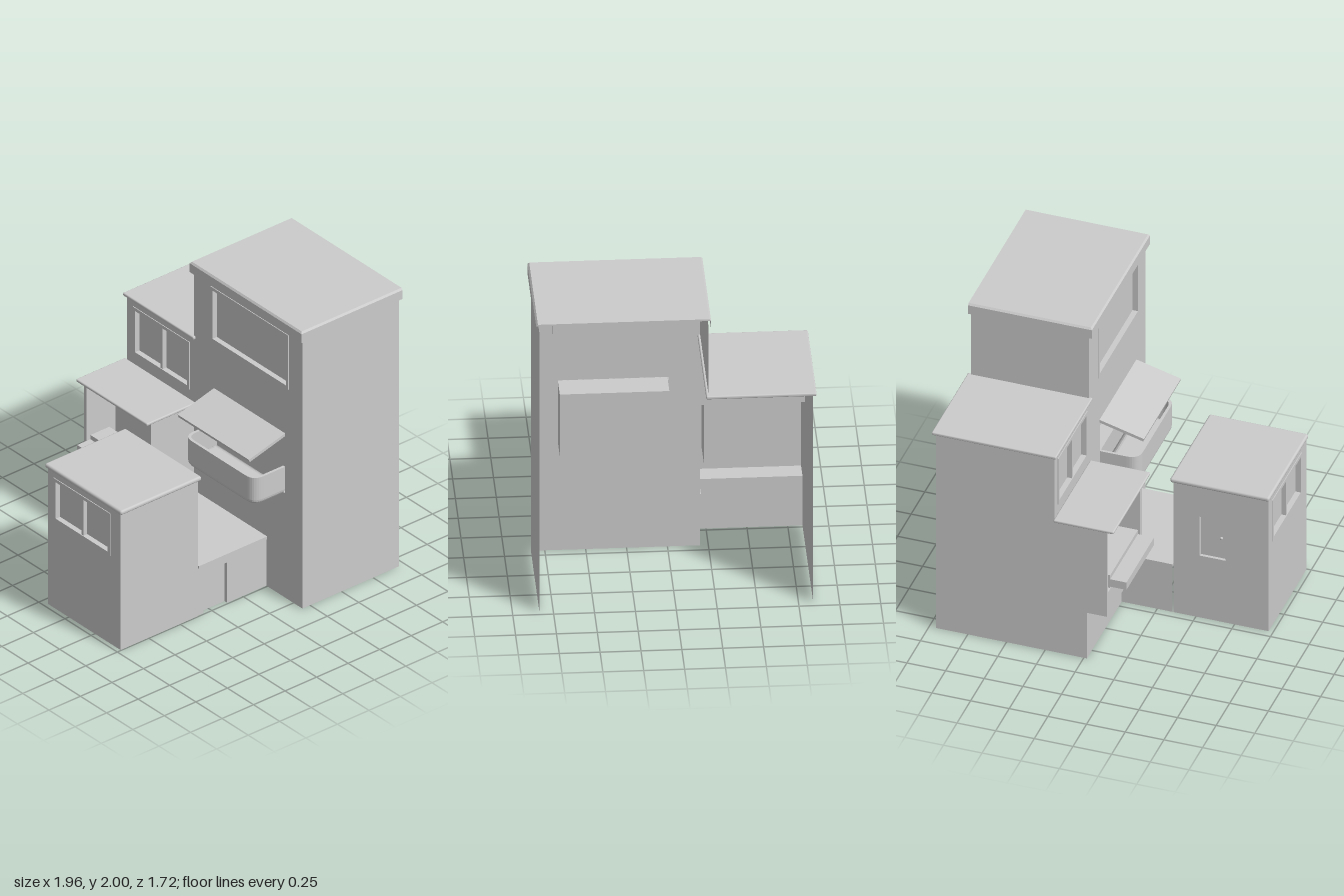
import * as THREE from 'three';
import { RoundedBoxGeometry } from 'three/addons/geometries/RoundedBoxGeometry.js';

const mat = new THREE.MeshStandardMaterial({ color: 0xcccccc, side: THREE.DoubleSide });

export function createModel() {
  const root = new THREE.Group();
  const add = (name, geo, x = 0, y = 0, z = 0) => {
    const m = new THREE.Mesh(geo, mat);
    m.name = name;
    m.position.set(x, y, z);
    root.add(m);
    return m;
  };

  // Box from its limits; faces listed in skip (+x,-x,+y,-y,+z,-z = 0..5) are left open
  const box = (name, [x0, x1], [y0, y1], [z0, z1], skip = []) => {
    const g = new THREE.BoxGeometry(x1 - x0, y1 - y0, z1 - z0);
    const idx = Array.from(g.index.array).filter((_, i) => !skip.includes(Math.floor(i / 6)));
    g.setIndex(idx);
    g.clearGroups();
    return add(name, g, (x0 + x1) / 2, (y0 + y1) / 2, (z0 + z1) / 2);
  };

  // Slab with softened edges
  const slab = (name, [x0, x1], [y0, y1], [z0, z1], r = 0.01) =>
    add(name, new RoundedBoxGeometry(x1 - x0, y1 - y0, z1 - z0, 2, r),
      (x0 + x1) / 2, (y0 + y1) / 2, (z0 + z1) / 2);

  const poly = pts => new THREE.Shape(pts.map(p => new THREE.Vector2(...p)));
  const rect = ([a0, a1], [b0, b1]) => poly([[a0, b0], [a1, b0], [a1, b1], [a0, b1]]);

  // Flat wall facing -x (drawn in z,y) or along x (drawn in x,y), with rectangular openings
  const cut = (shape, holes) => {
    holes.forEach(h => shape.holes.push(rect(...h)));
    return shape;
  };
  const wallX = (name, x, shape, holes = []) => {
    add(name, new THREE.ShapeGeometry(cut(shape, holes)), x).rotation.y = -Math.PI / 2;
  };
  const wallZ = (name, z, shape, holes = []) =>
    add(name, new THREE.ShapeGeometry(cut(shape, holes)), 0, 0, z);

  // Recessed window facing -x, with a raised frame and an optional mullion
  const windowX = (name, x, [z0, z1], [y0, y1], mullion) => {
    const f = 0.022, d = 0.03;
    box(name + 'Pane', [x, x + d], [y0 + f, y1 - f], [z0 + f, z1 - f], [1]);
    const ring = cut(rect([z0, z1], [y0, y1]), [[[z0 + f, z1 - f], [y0 + f, y1 - f]]]);
    const g = new THREE.ExtrudeGeometry(ring, { depth: 0.035, bevelEnabled: false });
    add(name + 'Frame', g, x + 0.03).rotation.y = -Math.PI / 2;
    if (mullion) {
      const c = (z0 + z1) / 2;
      box(name + 'Mullion', [x, x + d], [y0 + f, y1 - f], [c - 0.01, c + 0.01]);
    }
  };

  // Tower, open on its left side
  const tz = [-0.2, 0.835], tx = [0.19, 0.955];
  const bigWin = [[-0.04, 0.705], [1.51, 1.9]], hatch = [[0, 0.67], [0.75, 1.18]];
  wallX('towerSideWall', 0.19, rect(tz, [0, 1.94]), [bigWin, hatch]);
  wallZ('towerFrontWall', 0.835, rect(tx, [0, 1.94]));
  wallZ('towerBackWall', -0.2, rect(tx, [1.45, 1.94]));
  windowX('towerWindow', 0.19, ...bigWin, false);
  box('towerRoofEave', [0.167, 0.968], [1.925, 1.988], [-0.215, 0.855], [0, 2, 3]);
  // Roof top with a small chamfer along three edges
  const cap = new THREE.BoxGeometry(0.801, 0.012, 1.07);
  const cp = cap.attributes.position;
  for (let i = 0; i < cp.count; i++) {
    if (cp.getY(i) < 0) continue;
    cp.setZ(i, cp.getZ(i) * 0.98);
    if (cp.getX(i) < 0) cp.setX(i, cp.getX(i) + 0.01);
  }
  cap.computeVertexNormals();
  add('towerRoofTop', cap.toNonIndexed(), 0.5675, 1.994, 0.32).geometry.computeVertexNormals();

  // Serving hatch: inner recess, rounded outer tray, awning
  box('hatchRecess', [0.19, 0.37], hatch[1], hatch[0], [1]);
  const trayPlan = (i, r) => {
    const s = new THREE.Shape(), x0 = -0.06 + i, x1 = 0.19, z0 = i, z1 = 0.67 - i;
    s.moveTo(x1, -z0);
    s.lineTo(x0 + r, -z0);
    s.quadraticCurveTo(x0, -z0, x0, -z0 - r);
    s.lineTo(x0, -z1 + r);
    s.quadraticCurveTo(x0, -z1, x0 + r, -z1);
    s.lineTo(x1, -z1);
    s.closePath();
    return s;
  };
  const rim = trayPlan(0, 0.08);
  rim.holes.push(trayPlan(0.018, 0.065));
  add('trayRim', new THREE.ExtrudeGeometry(rim, { depth: 0.155, bevelEnabled: false, curveSegments: 8 }),
    0, 0.785, 0).rotation.x = -Math.PI / 2;
  const base = new THREE.ExtrudeGeometry(trayPlan(0, 0.08), {
    depth: 0.005, bevelThickness: 0.035, bevelSize: 0.03, bevelOffset: -0.03, bevelSegments: 4, curveSegments: 8
  });
  // Only the underside keeps its rounding
  const bp = base.attributes.position;
  for (let i = 0; i < bp.count; i++) if (bp.getZ(i) > 0.005) bp.setZ(i, 0.005);
  add('trayBase', base, 0, 0.78, 0).rotation.x = -Math.PI / 2;
  const awning = add('awning', new THREE.BoxGeometry(0.3, 0.02, 0.68), 0.05, 1.132, 0.33);
  awning.rotation.z = 0.26;

  // Rear block: tall part, lower part and overhang
  const bz = [-0.84, -0.2];
  const smallWin = [[-0.78, -0.24], [1.06, 1.4]], counter = [[-0.82, -0.23], [0.51, 0.97]];
  wallZ('rearWall', -0.84, poly([[-0.02, 0], [0.955, 0], [0.955, 1.45], [0.19, 1.45],
    [0.19, 0.98], [-0.15, 0.98], [-0.15, 0.345], [-0.02, 0.345]]));
  wallX('rearUpperWall', 0.19, rect(bz, [0.975, 1.45]), [smallWin]);
  windowX('rearWindow', 0.19, ...smallWin, true);
  slab('rearUpperRoof', [0.172, 0.978], [1.445, 1.467], [-0.86, -0.185], 0.008);
  wallX('rearCounterWall', -0.15, rect(bz, [0.345, 0.98]), [counter]);
  wallZ('rearCounterFront', -0.2, rect([-0.15, 0.19], [0.345, 0.98]));
  wallX('rearBaseWall', -0.02, rect(bz, [0, 0.345]));
  box('rearOverhang', [-0.15, -0.02], [0.34, 0.345], bz);
  slab('rearLowerRoof', [-0.2, 0.19], [0.975, 0.995], [-0.86, -0.18], 0.008);
  box('counterRecess', [-0.15, 0.08], counter[1], counter[0], [1]);
  box('counterTop', [-0.15, 0.0], [0.515, 0.61], [-0.78, -0.27]);
  box('counterShelf', [-0.255, -0.14], [0.525, 0.58], [-0.78, -0.27]);

  // Low link between hut and tower, with a recessed front door
  const door = [[-0.31, -0.12], [0, 0.29]];
  const linkFront = poly([[-0.35, 0], [-0.31, 0], [-0.31, 0.29], [-0.12, 0.29],
    [-0.12, 0], [0.19, 0], [0.19, 0.34], [-0.35, 0.34]]);
  wallZ('linkFrontWall', 0.49, linkFront);
  box('linkDoor', door[0], door[1], [0.465, 0.49], [3, 4]);
  wallZ('linkBackWall', -0.2, rect([-0.35, -0.02], [0, 0.345]));
  box('linkRoof', [-0.35, 0.19], [0.338, 0.357], [-0.205, 0.498]);

  // Hut
  const hx = [-0.97, -0.355], hz = [-0.2, 0.495];
  const hutWin = [[-0.14, 0.4], [0.63, 0.935]], hutDoor = [[-0.69, -0.525], [0.46, 0.75]];
  box('hutWalls', hx, [0, 0.98], hz, [1, 2, 3, 5]);
  wallX('hutWindowWall', -0.97, rect(hz, [0, 0.98]), [hutWin]);
  windowX('hutWindow', -0.97, ...hutWin, true);
  wallZ('hutBackWall', -0.2, rect(hx, [0, 0.98]), [hutDoor]);
  box('hutHatch', hutDoor[0], hutDoor[1], [-0.2, -0.18], [5]);
  add('hutHatchKnob', new THREE.SphereGeometry(0.01, 10, 8), -0.66, 0.61, -0.185);
  slab('hutRoof', [-0.98, -0.338], [0.973, 1.005], [-0.22, 0.512], 0.014);

  return root;
}
